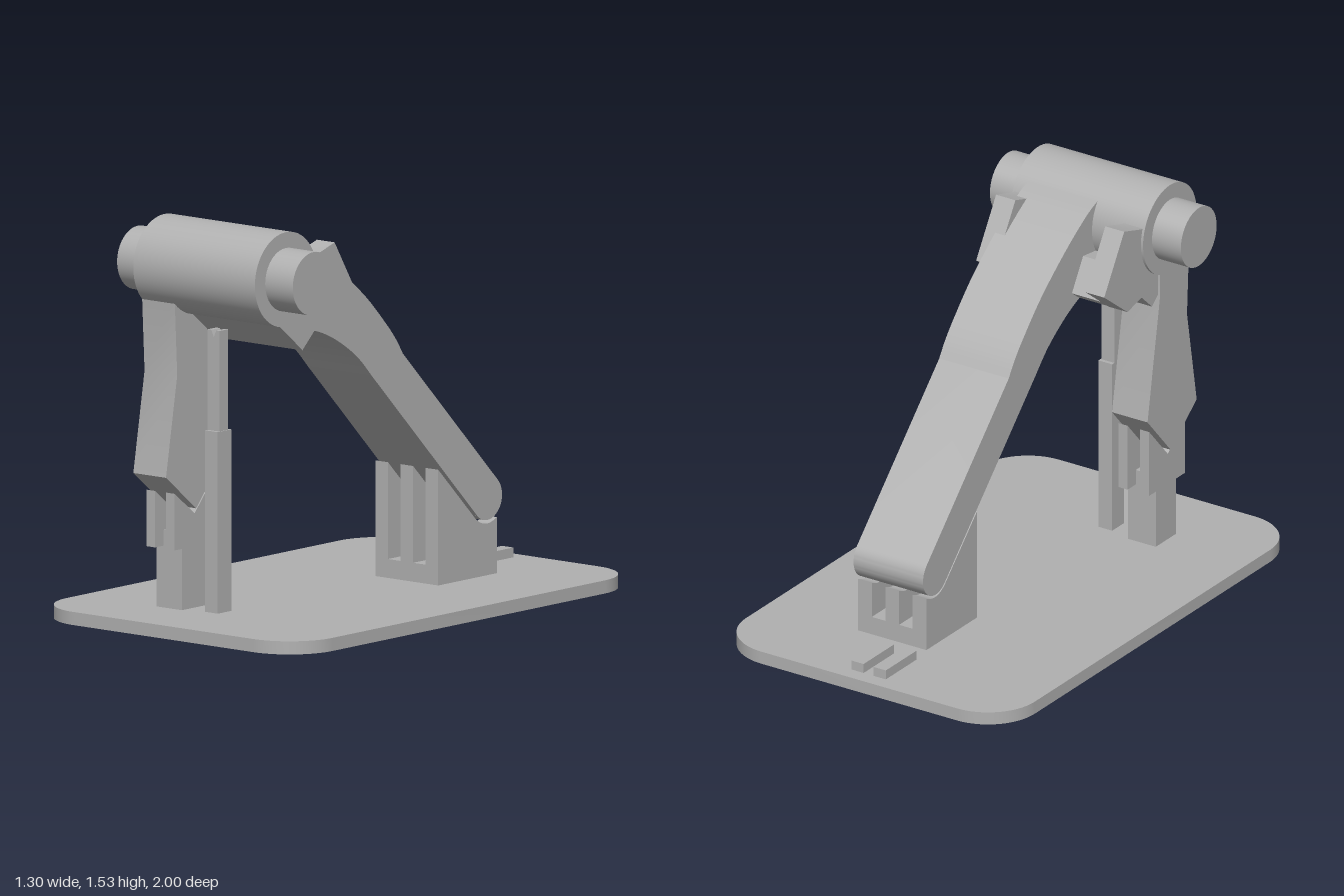
import * as THREE from 'three';
import { toCreasedNormals } from 'three/addons/utils/BufferGeometryUtils.js';

export function createModel() {
  const model = new THREE.Group();
  const grey = new THREE.MeshStandardMaterial({ color: 0xb0b0b0 });
  grey.name = 'plain grey';

  const add = (name, geometry) => {
    const mesh = new THREE.Mesh(geometry, grey);
    mesh.name = name;
    model.add(mesh);
  };

  // Side profile in (z, y), extruded from x0 to x1
  const slab = (name, shape, x0, x1) => {
    const g = new THREE.ExtrudeGeometry(shape, { depth: x1 - x0, bevelEnabled: false, curveSegments: 16 });
    g.rotateY(Math.PI / 2).translate(x0, 0, 0);
    add(name, toCreasedNormals(g, 0.5));
  };
  const polygon = (points) => new THREE.Shape(points.map(([z, y]) => new THREE.Vector2(-z, y)));
  const box = (name, x0, x1, y0, y1, z0, z1) => {
    const g = new THREE.BoxGeometry(x1 - x0, y1 - y0, z1 - z0);
    add(name, g.translate((x0 + x1) / 2, (y0 + y1) / 2, (z0 + z1) / 2));
  };
  const barrel = (name, radius, x0, x1) => {
    const g = new THREE.CylinderGeometry(radius, radius, x1 - x0, 64);
    add(name, g.rotateZ(Math.PI / 2).translate((x0 + x1) / 2, 1.35, 0.64));
  };

  // Rounded base plate
  const w = 0.65, d = 1, r = 0.21;
  const plate = new THREE.Shape();
  plate.absarc(w - r, d - r, r, 0, Math.PI / 2);
  plate.absarc(r - w, d - r, r, Math.PI / 2, Math.PI);
  plate.absarc(r - w, r - d, r, Math.PI, Math.PI * 1.5);
  plate.absarc(w - r, r - d, r, Math.PI * 1.5, Math.PI * 2);
  const base = new THREE.ExtrudeGeometry(plate, { depth: 0.05, bevelEnabled: false, curveSegments: 16 });
  add('basePlate', toCreasedNormals(base.rotateX(-Math.PI / 2), 0.5));

  // Horizontal barrel and its thinner axle
  barrel('barrel', 0.18, -0.3, 0.295);
  barrel('axle', 0.12, -0.43, 0.43);

  // Long curved arm with a rounded foot
  const v = (z, y) => new THREE.Vector2(-z, y);
  const arm = new THREE.Shape();
  arm.moveTo(-0.64, 1.25);
  arm.lineTo(-0.47, 1.135);
  arm.splineThru([v(0.36, 1.1), v(0.26, 1.05), v(0.16, 0.98), v(0.08, 0.9)]);
  arm.lineTo(0.53, 0.285);
  arm.absarc(0.59, 0.345, 0.085, -Math.PI * 0.75, Math.PI / 4);
  arm.lineTo(0.1, 0.96);
  arm.splineThru([v(-0.06, 1.02), v(0, 1.09), v(0.12, 1.21), v(0.28, 1.335), v(0.42, 1.425), v(0.5, 1.46)]);
  arm.lineTo(-0.64, 1.45);
  slab('longArm', arm, -0.07, 0.243);

  // Angular cheeks either side of the arm, with cross pieces
  const cheek = [[0.6, 1.4], [0.46, 1.415], [0.348, 1.45], [0.214, 1.23], [0.37, 1.108], [0.465, 1.13], [0.6, 1.2]];
  slab('rightCheek', polygon(cheek), -0.29, -0.205);
  slab('leftCheek', polygon(cheek), 0.2, 0.287);
  slab('crossBar', polygon([[0.7, 1.2], [0.6, 1.12], [0.535, 1.065], [0.465, 1.13], [0.5, 1.25]]), -0.29, 0.287);
  slab('web', polygon([[0.325, 1.145], [0.37, 1.11], [0.47, 1.13], [0.55, 1.25], [0.4, 1.27]]), -0.205, -0.07);

  // Short front leg with a pointed foot
  slab('shortLeg', polygon([[0.77, 1.25], [0.755, 0.95], [0.82, 0.57], [0.645, 0.43],
    [0.49, 0.605], [0.575, 1.1], [0.575, 1.25]]), -0.3, -0.14);

  // Stand under the short leg: column with two notched prongs
  box('frontStandColumn', -0.28, -0.155, 0.05, 0.345, 0.575, 0.71);
  const prong = [[0.76, 0.285], [0.76, 0.5], [0.645, 0.41], [0.52, 0.55], [0.52, 0.285]];
  for (const x of [-0.287, -0.19]) slab('frontStandProng', polygon(prong), x, x + 0.042);

  // Thin stepped post with a V notch on top
  box('postLower', -0.067, -0.005, 0.05, 0.74, 0.6, 0.68);
  const post = new THREE.Shape([[-0.067, 0.74], [-0.009, 0.74], [-0.009, 1.122], [-0.025, 1.122],
    [-0.037, 1.095], [-0.049, 1.122], [-0.067, 1.122]].map(([x, y]) => new THREE.Vector2(x, y)));
  add('postUpper', new THREE.ExtrudeGeometry(post, { depth: 0.05, bevelEnabled: false }).translate(0, 0, 0.615));

  // Rear stand: three cradle fins on a low block
  box('rearStandBase', -0.065, 0.243, 0.05, 0.122, -0.645, -0.305);
  const fin = new THREE.Shape();
  fin.moveTo(0.305, 0.05);
  fin.lineTo(0.645, 0.05);
  fin.lineTo(0.645, 0.263);
  fin.quadraticCurveTo(0.575, 0.225, 0.52, 0.275);
  fin.lineTo(0.305, 0.49);
  for (const x of [-0.065, 0.058, 0.181]) slab('rearStandFin', fin, x, x + 0.062);

  // Two small bars behind the rear stand
  for (const x of [-0.08, 0.02]) box('smallBar', x, x + 0.055, 0.05, 0.087, -0.94, -0.735);

  return model;
}
